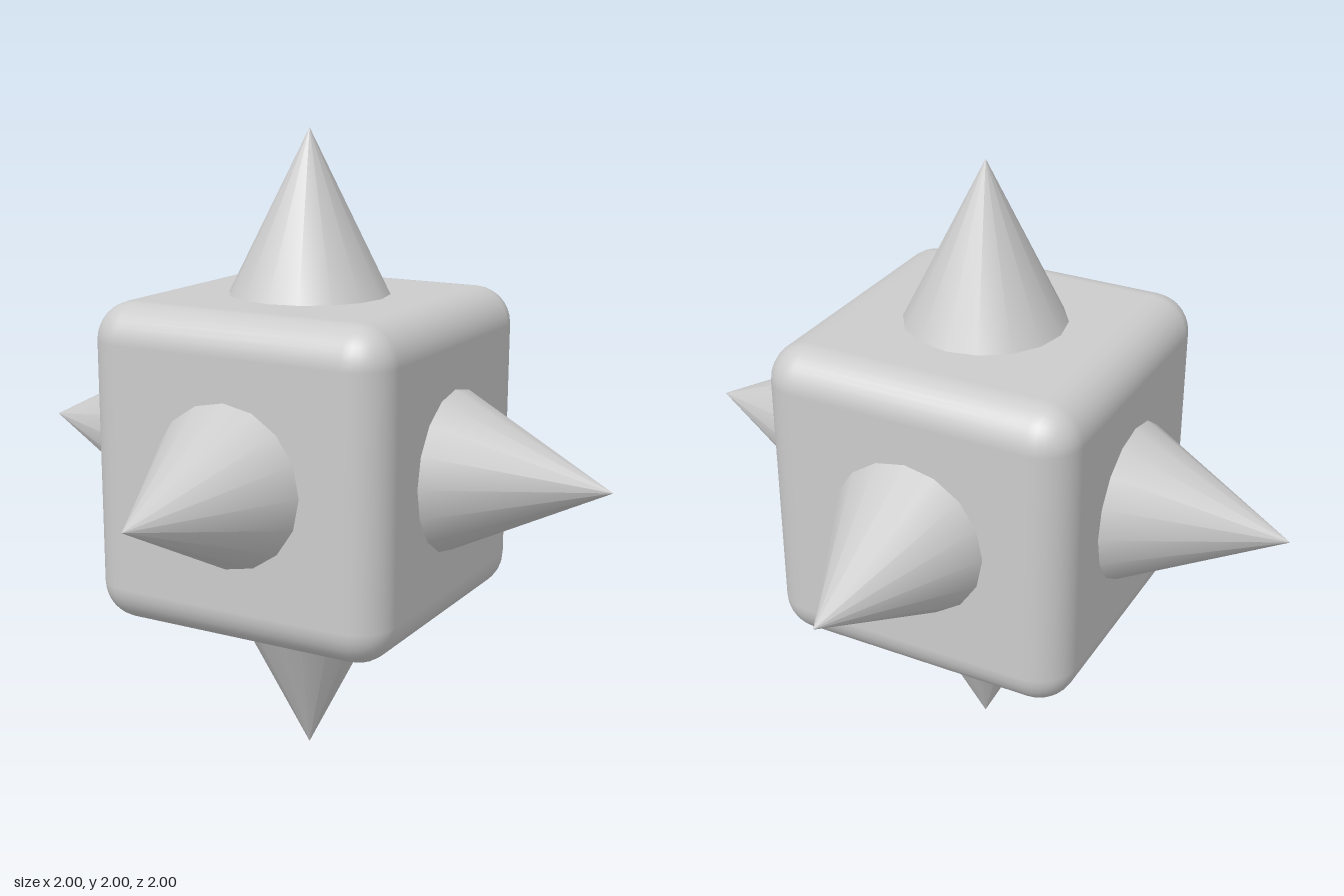
import * as THREE from 'three';
import { RoundedBoxGeometry } from 'three/addons/geometries/RoundedBoxGeometry.js';

export function createModel() {
  const group = new THREE.Group();
  const material = new THREE.MeshStandardMaterial({ color: 0xcccccc });

  // Rounded cube body
  const body = new THREE.Mesh(new RoundedBoxGeometry(1, 1, 1, 4, 0.12), material);
  body.name = 'body';
  body.position.y = 1;
  group.add(body);

  // One cone spike in the middle of each face, pointing outwards
  const spikeGeometry = new THREE.ConeGeometry(0.25, 0.5, 16, 1, true);
  spikeGeometry.translate(0, 0.75, 0);
  const up = new THREE.Vector3(0, 1, 0);
  const directions = {
    topSpike: [0, 1, 0],
    bottomSpike: [0, -1, 0],
    leftSpike: [1, 0, 0],
    rightSpike: [-1, 0, 0],
    frontSpike: [0, 0, 1],
    backSpike: [0, 0, -1],
  };
  for (const [name, direction] of Object.entries(directions)) {
    const spike = new THREE.Mesh(spikeGeometry, material);
    spike.name = name;
    spike.position.y = 1;
    spike.quaternion.setFromUnitVectors(up, new THREE.Vector3(...direction));
    group.add(spike);
  }
  return group;
}
